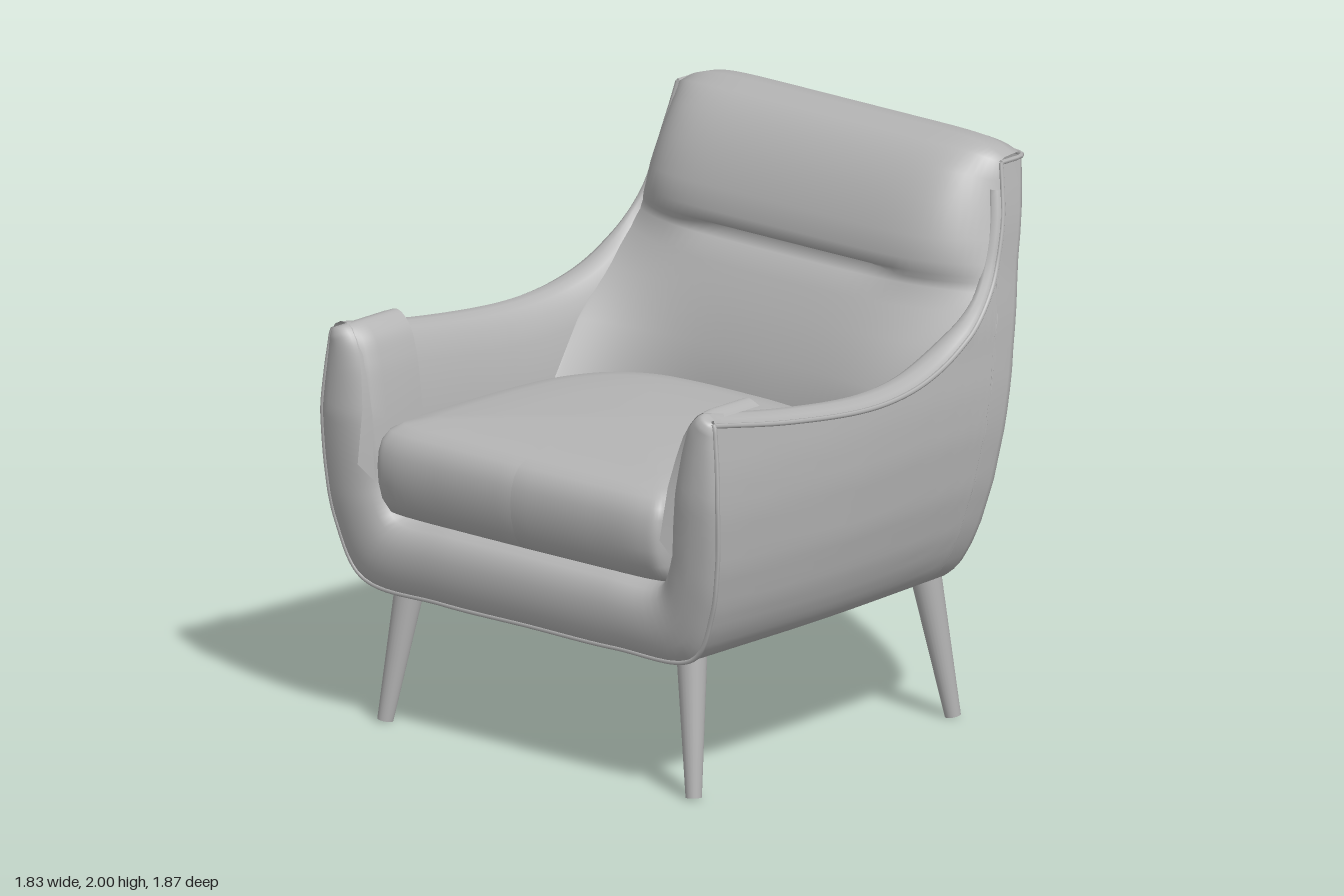
import * as THREE from 'three';

const V = (x, y, z) => new THREE.Vector3(x, y, z);
const lerp = THREE.MathUtils.lerp;
const smooth = THREE.MathUtils.smoothstep;

// Piecewise linear lookup in a list of [key, value]
function lookup(table, k) {
  if (k <= table[0][0]) return table[0][1];
  for (let i = 1; i < table.length; i++) {
    const [a, va] = table[i - 1], [b, vb] = table[i];
    if (k <= b) return lerp(va, vb, (k - a) / (b - a));
  }
  return table[table.length - 1][1];
}

// Smooth surface through rows of points
function surface(rows) {
  const n = rows[0].length, idx = [];
  for (let i = 0; i < rows.length - 1; i++) {
    for (let j = 0; j < n - 1; j++) {
      const a = i * n + j, b = a + 1, c = a + n, d = c + 1;
      idx.push(a, c, b, b, c, d);
    }
  }
  const g = new THREE.BufferGeometry().setFromPoints(rows.flat());
  g.setIndex(idx);
  g.computeVertexNormals();
  return g;
}

const curve = (pts) => new THREE.CatmullRomCurve3(pts.map(p => V(p[0], p[1], p[2] || 0)));
const mirrorX = (p) => V(-p.x, p.y, p.z);
// Half a run of points ending on x = 0, completed on the other side
const wholeRun = (half) => [...half, ...half.slice(0, -1).reverse().map(mirrorX)];

// Outer shell: half width, front edge and back edge by height
const BOTTOM = 0.49, TOP = 1.935;
const WIDTH = [[0.49, 0.70], [0.52, 0.765], [0.56, 0.80], [0.62, 0.832], [0.7, 0.86], [0.85, 0.89],
  [1.05, 0.905], [1.2, 0.9], [1.4, 0.875], [1.6, 0.815], [1.94, 0.74]];
const FRONT = [[0.49, 0.84], [0.8, 0.865], [1.1, 0.88], [1.4, 0.862]];
const backZ = (y) => -0.60 - 0.205 * (y - BOTTOM);
const cornerR = (y) => lerp(0.13, 0.05, (y - BOTTOM) / (TOP - BOTTOM));
const halfWidth = (y, z) => lookup(WIDTH, y) - 0.05 * smooth(-z, -0.3, 0.8) * (1 - smooth(y, 1.3, 1.8));

// p: 0-1 along the side, 1-2 round the corner, 2-3 across half the back
function outer(p, y) {
  const r = cornerR(y), zc = backZ(y) + r;
  if (p <= 1) {
    const z = lerp(lookup(FRONT, y), zc, p);
    return V(halfWidth(y, z), y, z);
  }
  const w = halfWidth(y, zc) - r;
  if (p <= 2) {
    const a = (p - 1) * Math.PI / 2;
    return V(w + r * Math.cos(a), y, zc - r * Math.sin(a));
  }
  const k = 3 - p;
  return V(w * k, y, backZ(y) - 0.03 * (1 - k * k));
}

// Seam along the top of the arm and up the wing, as (z, y)
const seam = curve([[0.862, 1.38], [0.5, 1.315], [0.1, 1.27], [-0.1, 1.272], [-0.25, 1.295], [-0.4, 1.345],
  [-0.55, 1.435], [-0.65, 1.55], [-0.71, 1.7], [-0.74, 1.82], [-0.76, TOP]]);
const seamPts = seam.getPoints(50);
const seamP = ({ x: z, y }) => {
  const f = lookup(FRONT, y);
  return (f - z) / (f - backZ(y) - cornerR(y));
};

function shellColumns() {
  const cols = seamPts.map(s => [seamP(s), s.y]);
  for (let i = 1; i <= 8; i++) cols.push([1 + i / 8, TOP]);
  for (let i = 1; i <= 8; i++) cols.push([2 + i / 8, TOP]);
  return cols;
}

function shellGeometry() {
  const cols = shellColumns(), rows = [];
  for (let i = 0; i <= 26; i++) {
    const v = Math.pow(i / 26, 1.6);
    rows.push(wholeRun(cols.map(([p, top]) => outer(p, lerp(BOTTOM, top, v)))));
  }
  return surface(rows);
}

function undersideGeometry() {
  const edge = wholeRun(shellColumns().map(([p]) => outer(p, BOTTOM)));
  edge.push(edge[0].clone());
  return surface([edge.map(() => V(0, BOTTOM, 0.1)), edge]);
}

// Padded arm: rounded section swept along the seam, as [inset, height]
const ARM = [[0, 0], [0.012, 0.022], [0.04, 0.035], [0.075, 0.034], [0.105, 0.018], [0.135, -0.02],
  [0.165, -0.09], [0.19, -0.2], [0.215, -0.35], [0.225, -0.62]];
function armGeometry() {
  return surface(seamPts.slice(0, 47).map((s, i) => {
    const t = seam.getTangent(i / 50), base = outer(seamP(s), s.y);
    const wing = smooth(s.y, 1.3, 1.5);
    return ARM.map(([dx, h]) => {
      const d = h < 0 ? h * lerp(1, 0.15, wing) : h;
      return V(base.x - dx * lerp(1, 0.5, wing), s.y - t.x * d, s.x + t.y * d);
    });
  }));
}

// Front face: a padded band down one arm, along the rail and up the other arm
const faceOuter = curve([[0.872, 1.385], [0.878, 1.37], [0.885, 1.32], [0.895, 1.24], [0.905, 1.1],
  [0.895, 0.88], [0.86, 0.7], [0.76, 0.52], [0.4, 0.492], [0, 0.492]]).getPoints(60);
const faceInner = curve([[0.86, 1.395], [0.8, 1.412], [0.745, 1.37], [0.71, 1.29], [0.685, 1.18],
  [0.66, 1.0], [0.645, 0.86], [0.59, 0.765], [0.35, 0.755], [0, 0.755]]).getPoints(60);
function faceGeometry() {
  const pad = [[0, 0], [0.08, 0.016], [0.22, 0.027], [0.42, 0.032], [0.62, 0.027], [0.8, 0.01],
    [0.92, -0.02], [1, -0.07], [1, -0.25]];
  return surface(pad.map(([s, dz]) => wholeRun(faceOuter.map((o, i) => {
    const p = o.clone().lerp(faceInner[i], s);
    const k = dz > 0 ? Math.min(1, o.distanceTo(faceInner[i]) / 0.12) : 1;
    return V(p.x, p.y, lookup(FRONT, p.y) + dz * k);
  }))));
}

// Back cushion rows: middle [y, z], then edge [x, y, z]
const BACK = [
  [1.93, -0.925, 0.69, 1.925, -0.895], [1.965, -0.905, 0.705, 1.94, -0.885], [1.99, -0.85, 0.72, 1.945, -0.84],
  [2.0, -0.77, 0.728, 1.945, -0.79], [1.98, -0.68, 0.735, 1.935, -0.76], [1.92, -0.6, 0.745, 1.87, -0.75],
  [1.82, -0.53, 0.765, 1.78, -0.735], [1.7, -0.48, 0.785, 1.68, -0.70], [1.62, -0.465, 0.795, 1.6, -0.67],
  [1.575, -0.468, 0.80, 1.56, -0.65], [1.55, -0.475, 0.80, 1.54, -0.64], [1.525, -0.472, 0.80, 1.51, -0.62],
  [1.45, -0.43, 0.80, 1.46, -0.57], [1.35, -0.37, 0.76, 1.36, -0.42], [1.2, -0.31, 0.70, 1.22, -0.2],
  [1.05, -0.27, 0.67, 1.05, -0.05], [0.75, -0.25, 0.66, 0.75, 0]];
function backGeometry() {
  return surface(BACK.map(([y, z, ex, ey, ez], i) => {
    const n = lerp(10, 4, smooth(i, 3, 12)), row = [];
    for (let j = 0; j <= 48; j++) {
      const s = Math.sin((j / 24 - 1) * Math.PI / 2), k = Math.pow(Math.abs(s), n);
      // pinched crease across the middle
      const pinch = i === 10 ? 0.06 * (1 - smooth(Math.abs(s * ex), 0.3, 0.55)) : 0;
      row.push(V(s * ex, lerp(y, ey, k), lerp(z, ez, k) - pinch));
    }
    return row;
  }));
}

// Seat cushion: plan outline stacked in rings [y, side scale, front scale, back scale]
function seatGeometry() {
  const half = curve([[0, 0.93], [0.35, 0.927], [0.58, 0.918], [0.64, 0.895], [0.657, 0.8], [0.66, 0.5],
    [0.645, 0.2], [0.61, 0.02], [0.52, -0.14], [0.38, -0.23], [0.2, -0.26], [0, -0.265]]).getPoints(55);
  const plan = [...half, ...half.slice(0, -1).reverse().map(mirrorX)];
  const rings = [[0.76, 0.1, 0.1, 0.1], [0.76, 0.95, 0.83, 0.95], [0.78, 0.98, 0.91, 0.98], [0.83, 0.995, 0.965, 1],
    [0.89, 1, 0.992, 1], [0.95, 1, 1, 1], [1.0, 1, 0.99, 1], [1.04, 0.995, 0.965, 1], [1.07, 0.975, 0.92, 0.99],
    [1.09, 0.93, 0.85, 0.95], [1.108, 0.8, 0.7, 0.8], [1.12, 0.5, 0.45, 0.5], [1.125, 0, 0, 0]];
  return surface(rings.map(([y, sx, sf, sb]) =>
    plan.map(p => V(p.x * sx, y, 0.33 + (p.y - 0.33) * (p.y > 0.33 ? sf : sb)))));
}

const tube = (pts) => new THREE.TubeGeometry(new THREE.CatmullRomCurve3(pts), pts.length * 2, 0.009, 6);

export function createModel() {
  const model = new THREE.Group();
  const grey = new THREE.MeshStandardMaterial({ color: 0xb4b4b4, side: THREE.DoubleSide });
  grey.name = 'grey';
  const add = (name, geometry) => {
    const mesh = new THREE.Mesh(geometry, grey);
    mesh.name = name;
    model.add(mesh);
    return mesh;
  };

  add('outerShell', shellGeometry());
  add('underside', undersideGeometry());
  add('frontFace', faceGeometry());
  add('backCushion', backGeometry());
  add('seatCushion', seatGeometry());
  add('seatDeck', new THREE.BoxGeometry(1.26, 0.14, 0.95)).position.set(0, 0.68, 0.2);

  // Piping along the seams
  const topEdge = shellColumns().slice(50).map(([p, y]) => outer(p, y));
  add('backPiping', tube(wholeRun(topEdge)));
  add('frontPiping', tube(wholeRun(faceOuter.map(p => V(p.x, p.y, lookup(FRONT, p.y))))));

  for (const side of [1, -1]) {
    const name = side > 0 ? 'left' : 'right';
    const flip = (pts) => (side > 0 ? pts : pts.map(mirrorX));
    add(name + 'Arm', armGeometry()).scale.x = side;
    add(name + 'ArmPiping', tube(flip(seamPts.map(s => outer(seamP(s), s.y)))));

    // Splayed tapered legs
    for (const [part, zTop, zFoot] of [['FrontLeg', 0.715, 0.78], ['BackLeg', -0.48, -0.55]]) {
      const top = V(side * 0.64, 0.53, zTop), foot = V(side * 0.707, 0.004, zFoot);
      const axis = top.clone().sub(foot);
      const leg = add(name + part, new THREE.CylinderGeometry(0.055, 0.028, axis.length(), 24));
      leg.position.copy(top).add(foot).multiplyScalar(0.5);
      leg.quaternion.setFromUnitVectors(V(0, 1, 0), axis.normalize());
    }
  }
  return model;
}
